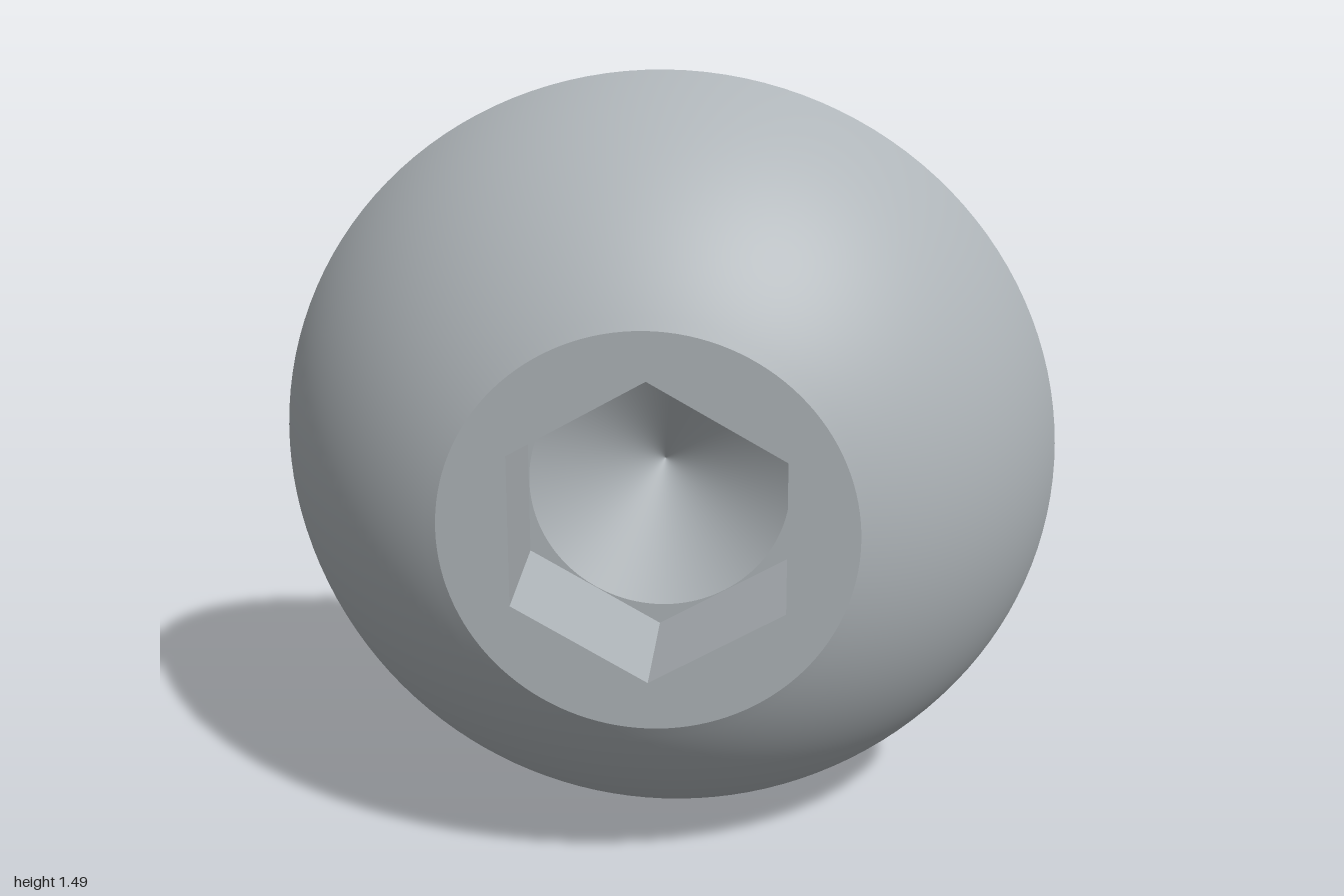
import * as THREE from 'three';

const SEG = 128;
const HEAD_R = 0.745, FACE_R = 0.373, HEAD_BACK = 0.57;
const SHANK_R = 0.39, CHAMFER = 0.072, FILLET = 0.04;
const HEX_FLAT = 0.245, HEX_R = HEX_FLAT / Math.cos(Math.PI / 6);
const FLOOR = 0.745, CONE_DEPTH = HEX_FLAT * Math.tan(Math.PI / 6);

// Surface of revolution around z from [radius, z] pairs; runs back to front face outwards
function revolve(profile, segments = SEG) {
  const points = profile.map(([r, z]) => new THREE.Vector2(r, z));
  return new THREE.LatheGeometry(points, segments).rotateX(Math.PI / 2);
}

function arc(cr, cz, radius, from, to, steps) {
  return Array.from({ length: steps + 1 }, (_, i) => {
    const a = from + (to - from) * i / steps;
    return [cr + radius * Math.cos(a), cz + radius * Math.sin(a)];
  });
}

// Hexagon outline with corners at top and bottom
function hexPoints() {
  return Array.from({ length: 6 }, (_, i) => {
    const a = Math.PI / 2 + i * Math.PI / 3;
    return new THREE.Vector2(HEX_R * Math.cos(a), HEX_R * Math.sin(a));
  });
}

export function createModel() {
  const steel = new THREE.MeshStandardMaterial({ color: 0xaeb4b8 });
  steel.name = 'steel';
  const model = new THREE.Group();
  model.name = 'buttonHeadScrew';
  const add = (name, geometry, parent) => {
    const mesh = new THREE.Mesh(geometry, steel);
    mesh.name = name;
    parent.add(mesh);
  };
  const group = (name) => {
    const g = new THREE.Group();
    g.name = name;
    model.add(g);
    return g;
  };

  // Shank: flat tip, chamfer, cylinder flowing into the fillet under the head
  const shank = group('shank');
  add('tip', revolve([[0, -1], [SHANK_R - CHAMFER, -1]]), shank);
  add('tipChamfer', revolve([[SHANK_R - CHAMFER, -1], [SHANK_R, -1 + CHAMFER]]), shank);
  add('shaft', revolve([[SHANK_R, -1 + CHAMFER], [SHANK_R, HEAD_BACK - FILLET]]), shank);
  add('fillet', revolve(
    arc(SHANK_R + FILLET, HEAD_BACK - FILLET, FILLET, Math.PI, Math.PI / 2, 10)), shank);

  // Head: flat underside, spherical dome and front face around the socket
  const head = group('head');
  add('underside', revolve([[SHANK_R + FILLET, HEAD_BACK], [HEAD_R, HEAD_BACK]]), head);
  const cz = (1 + FACE_R ** 2 - HEAD_R ** 2 - HEAD_BACK ** 2) / (2 * (1 - HEAD_BACK));
  add('dome', revolve(arc(0, cz, Math.hypot(HEAD_R, HEAD_BACK - cz),
    Math.atan2(HEAD_BACK - cz, HEAD_R), Math.atan2(1 - cz, FACE_R), 24)), head);
  const face = new THREE.Shape().absarc(0, 0, FACE_R, 0, Math.PI * 2);
  face.holes.push(new THREE.Path(hexPoints()));
  add('frontFace', new THREE.ShapeGeometry(face, SEG / 2).translate(0, 0, 1), head);

  // Hex socket: six inward walls, corner floor and drilled cone
  const socket = group('hexSocket');
  const walls = revolve([[HEX_R, 1], [HEX_R, FLOOR]], 6).toNonIndexed();
  walls.computeVertexNormals();
  add('socketWalls', walls, socket);
  const floor = new THREE.Shape(hexPoints());
  floor.holes.push(new THREE.Path().absarc(0, 0, HEX_FLAT - 0.001, 0, Math.PI * 2));
  add('socketFloor', new THREE.ShapeGeometry(floor, SEG / 2).translate(0, 0, FLOOR), socket);
  add('drillCone', revolve([[HEX_FLAT, FLOOR], [0, FLOOR - CONE_DEPTH]]), socket);

  // Rest the head rim on the ground
  model.position.y = HEAD_R;
  return model;
}
